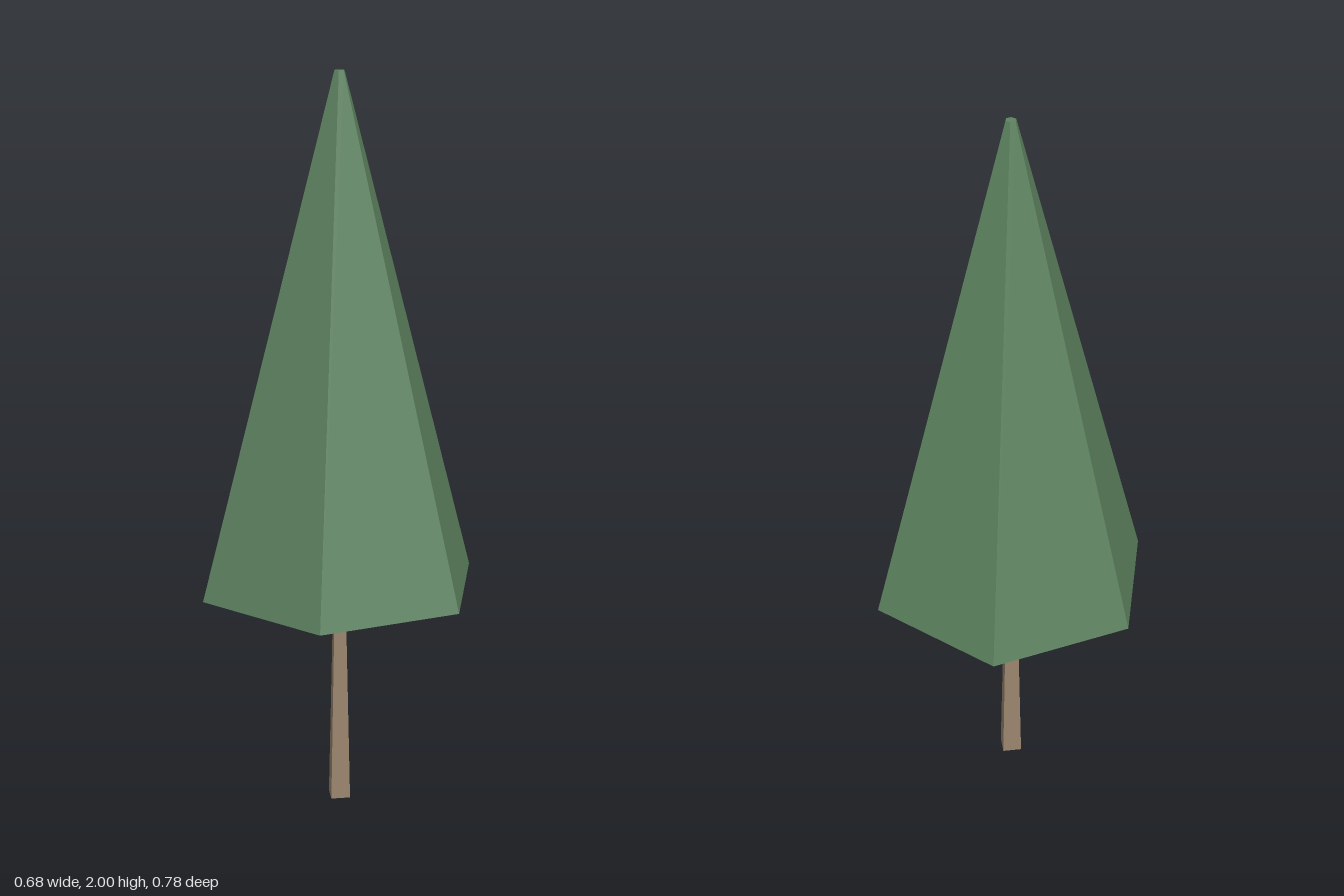
import * as THREE from 'three';

export function createModel() {
  const tree = new THREE.Group();
  tree.name = 'tree';

  const foliageGreen = new THREE.MeshStandardMaterial({ color: 0x5e8461 });
  const barkBrown = new THREE.MeshStandardMaterial({ color: 0x9a856e });

  // Faceted tapered prism standing between two heights, a corner facing front
  function addPrism(name, topRadius, bottomRadius, y0, y1, sides, material) {
    const rounded = new THREE.CylinderGeometry(topRadius, bottomRadius, y1 - y0, sides);
    const geometry = rounded.toNonIndexed();
    geometry.computeVertexNormals(); // flat facets
    const mesh = new THREE.Mesh(geometry, material);
    mesh.name = name;
    mesh.position.y = (y0 + y1) / 2;
    tree.add(mesh);
  }

  // Four-sided trunk, narrowing upwards
  addPrism('trunk', 0.02, 0.037, 0, 0.635, 4, barkBrown);

  // Six-sided crown with a tiny blunt tip
  addPrism('crown', 0.014, 0.39, 0.63, 2, 6, foliageGreen);

  return tree;
}
